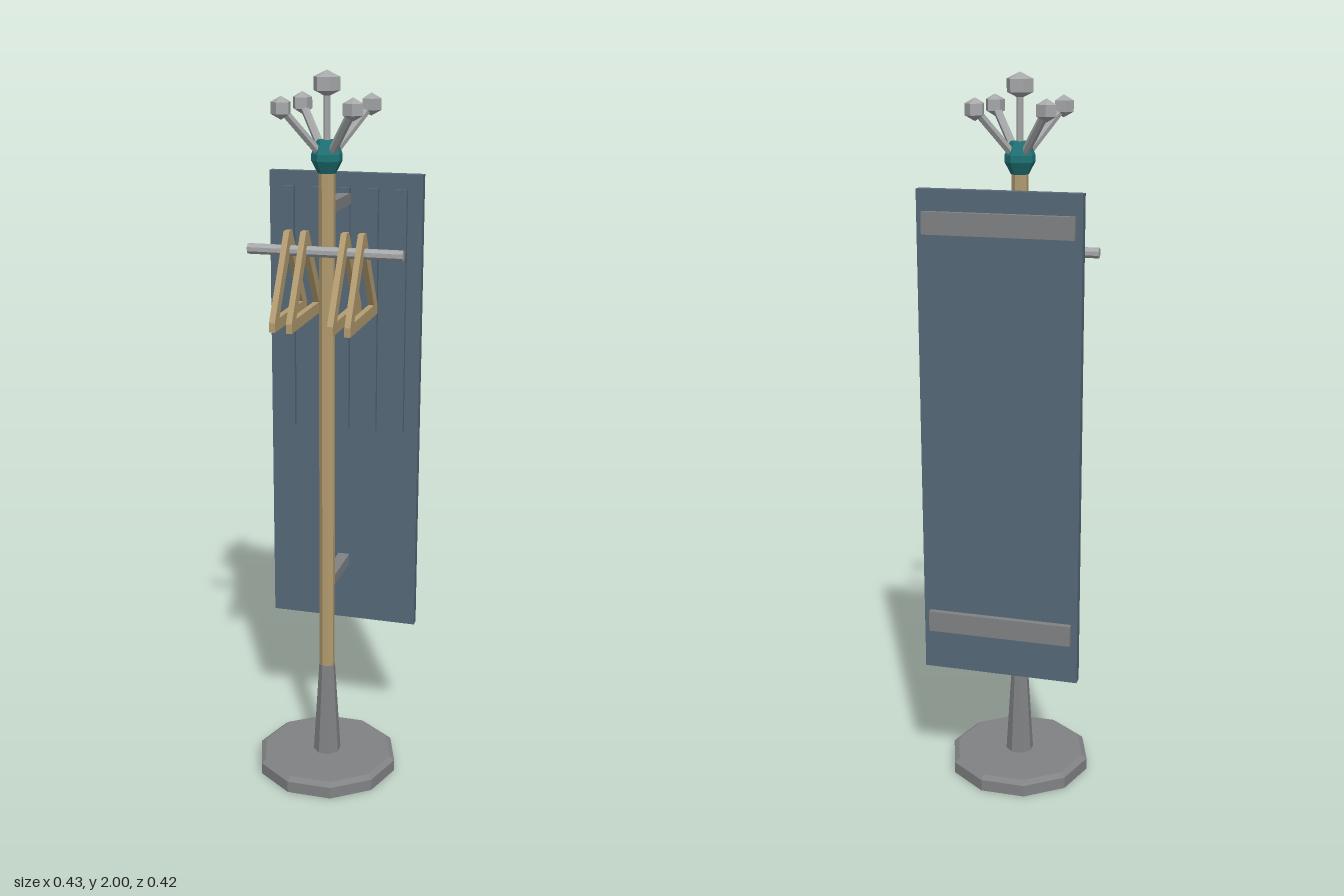
import * as THREE from 'three';

const mat = (name, color) => {
  const m = new THREE.MeshStandardMaterial({ color });
  m.name = name;
  m.flatShading = true;
  return m;
};

export function createModel() {
  const steel = mat('dark steel', 0x808284);
  const chrome = mat('bright steel', 0xa6a8aa);
  const wood = mat('light wood', 0xb39c70);
  const blue = mat('slate blue', 0x566878);
  const teal = mat('teal', 0x1f7478);

  const root = new THREE.Group();
  root.name = 'coatStand';
  const postZ = 0.015;

  const add = (name, geo, material, x = 0, y = 0, z = 0) => {
    const mesh = new THREE.Mesh(geo, material);
    mesh.name = name;
    mesh.position.set(x, y, z);
    root.add(mesh);
    return mesh;
  };
  const box = (name, material, x, y0, y1, z0, z1, w) =>
    add(name, new THREE.BoxGeometry(w, y1 - y0, z1 - z0), material, x, (y0 + y1) / 2, (z0 + z1) / 2);
  const turned = (name, material, sides, points) => {
    const geo = new THREE.LatheGeometry(points.map(p => new THREE.Vector2(...p)), sides);
    return add(name, geo.rotateY(Math.PI / sides), material, 0, 0, postZ);
  };
  // Straight round bar between two points
  const bar = (name, material, a, b, radius, sides) => {
    const dir = b.clone().sub(a);
    const mid = a.clone().add(b).multiplyScalar(0.5);
    const geo = new THREE.CylinderGeometry(radius, radius, dir.length(), sides);
    const mesh = add(name, geo.rotateY(Math.PI / sides), material, mid.x, mid.y, mid.z);
    mesh.quaternion.setFromUnitVectors(new THREE.Vector3(0, 1, 0), dir.normalize());
    return mesh;
  };

  // Foot, sleeve, post and collar
  turned('base', steel, 10, [[0, 0], [0.205, 0], [0.205, 0.034], [0.19, 0.045], [0, 0.045]]);
  turned('sleeve', steel, 8, [[0.04, 0.045], [0.023, 0.325], [0, 0.325]]);
  turned('post', wood, 8, [[0.022, 0.32], [0.022, 1.75]]);
  turned('collar', teal, 8, [[0, 1.74], [0.024, 1.74], [0.041, 1.772], [0.041, 1.79], [0.026, 1.825], [0, 1.825]]);

  // Central finial
  bar('finialStem', chrome, new THREE.Vector3(0, 1.81, postZ), new THREE.Vector3(0, 1.95, postZ), 0.009, 6);
  add('finial', new THREE.SphereGeometry(0.041, 6, 3), chrome, 0, 1.966, postZ).scale.y = 0.83;

  // Four hooks with faceted knobs
  for (const sx of [-1, 1]) for (const sz of [-1, 1]) {
    const tip = new THREE.Vector3(sx * 0.094, 1.91, postZ + sz * 0.094);
    bar('hookArm', chrome, new THREE.Vector3(sx * 0.014, 1.79, postZ + sz * 0.014), tip, 0.0115, 6);
    const knob = add('hookKnob', new THREE.SphereGeometry(0.031, 5, 3), chrome, tip.x, tip.y, tip.z);
    knob.rotation.y = Math.atan2(-sz, sx);
    knob.scale.y = 0.95;
  }

  // Back panel with front slats, rear rails and support arms
  box('backPanel', blue, 0, 0.39, 1.72, -0.197, -0.17, 0.434);
  for (let i = -2; i <= 2; i++) box('slat', blue, i * 0.08, 0.99, 1.68, -0.171, -0.155, 0.032);
  for (const y of [0.505, 1.607]) box('rearRail', steel, 0, y, y + 0.058, -0.213, -0.196, 0.4);
  for (const y of [0.565, 1.635]) box('supportArm', steel, 0, y, y + 0.031, -0.17, 0.01, 0.033);

  // Hanging rod
  const rodY = 1.537, rodZ = 0.037;
  bar('hangingRod', chrome, new THREE.Vector3(-0.212, rodY, rodZ), new THREE.Vector3(0.212, rodY, rodZ), 0.0145, 8);

  // Triangular hangers, drawn in the side plane and extruded across x
  const outline = [[-0.1475, 1.347], [0.1475, 1.347], [0.1475, 1.372], [0.013, 1.59], [-0.013, 1.59], [-0.1475, 1.372]];
  const opening = [[-0.107, 1.378], [0, 1.545], [0.107, 1.378]];
  const toPoints = list => list.map(p => new THREE.Vector2(...p));
  const shape = new THREE.Shape(toPoints(outline));
  shape.holes.push(new THREE.Path(toPoints(opening)));
  const hangerGeo = new THREE.ExtrudeGeometry(shape, { depth: 0.016, bevelEnabled: false });
  hangerGeo.translate(0, 0, -0.008).rotateY(Math.PI / 2);
  for (const x of [-0.101, -0.055, 0.055, 0.101]) add('hanger', hangerGeo, wood, x, 0, rodZ);

  return root;
}
